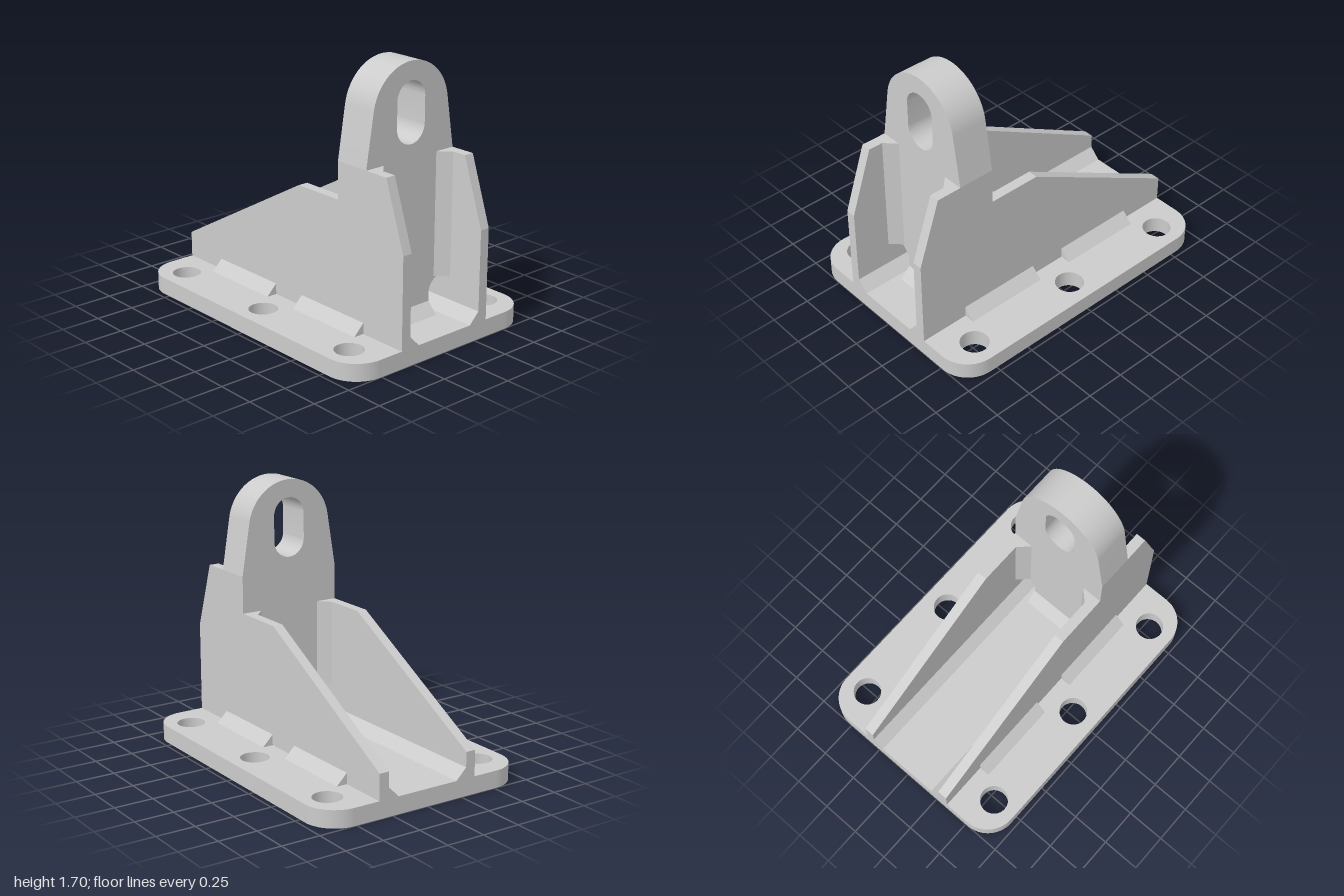
import * as THREE from 'three';
import { toCreasedNormals } from 'three/addons/utils/BufferGeometryUtils.js';

const material = new THREE.MeshStandardMaterial({ color: 0xcccccc });
const BASE_TOP = 0.11, WALL_IN = 0.28, WALL_OUT = 0.345, WELD = 0.07;
const LUG_BACK = 0.45, LUG_FRONT = 0.69, WALL_TOP = 1.115;

const polygon = (pts) => new THREE.Shape(pts.map(([x, y]) => new THREE.Vector2(x, y)));

// Extrudes a shape from `start` to `end` along an axis.
// Shape coordinates: axis z -> (x, y), axis y -> (x, -z), axis x -> (z, y).
function extrude(name, shape, axis, start, end) {
  const geo = new THREE.ExtrudeGeometry(shape, { depth: end - start, bevelEnabled: false, curveSegments: 24 });
  if (axis === 'z') geo.translate(0, 0, start);
  if (axis === 'y') geo.rotateX(-Math.PI / 2).translate(0, start, 0);
  if (axis === 'x') geo.rotateY(-Math.PI / 2).translate(end, 0, 0);
  const mesh = new THREE.Mesh(toCreasedNormals(geo, 0.15), material);
  mesh.name = name;
  return mesh;
}

// Right-triangle weld section with its square corner at (x, y)
const weldSection = (x, y, dx, dy) => polygon([[x, y], [x + dx, y], [x, y + dy]]);

function basePlate() {
  const w = 0.715, d = 1, r = 0.2, s = new THREE.Shape();
  s.absarc(w - r, d - r, r, 0, Math.PI / 2);
  s.absarc(-w + r, d - r, r, Math.PI / 2, Math.PI);
  s.absarc(-w + r, -d + r, r, Math.PI, Math.PI * 1.5);
  s.absarc(w - r, -d + r, r, Math.PI * 1.5, Math.PI * 2);
  s.closePath();
  for (const x of [-0.55, 0.55]) for (const z of [-0.78, 0, 0.78])
    s.holes.push(new THREE.Path().absarc(x, z, 0.09, 0, Math.PI * 2, true));
  return extrude('basePlate', s, 'y', 0, BASE_TOP);
}

function lug() {
  const s = new THREE.Shape();
  // foot with rounded clearance notches, then the shoulders and round head
  s.moveTo(-0.17, BASE_TOP);
  s.lineTo(0.17, BASE_TOP);
  s.absarc(0.27, 0.23, 0.1, Math.PI, Math.PI / 2, true);
  s.lineTo(WALL_IN, 0.33);
  s.lineTo(WALL_IN, WALL_TOP);
  s.lineTo(WALL_OUT, WALL_TOP);
  s.absarc(0, 1.4, 0.295, 0.16, Math.PI - 0.16);
  s.lineTo(-WALL_OUT, WALL_TOP);
  s.lineTo(-WALL_IN, WALL_TOP);
  s.lineTo(-WALL_IN, 0.33);
  s.absarc(-0.27, 0.23, 0.1, Math.PI / 2, 0, true);
  s.closePath();
  // vertical slot
  const slot = new THREE.Path();
  slot.absarc(0, 1.47, 0.11, 0, Math.PI);
  slot.absarc(0, 1.31, 0.11, Math.PI, Math.PI * 2);
  slot.closePath();
  s.holes.push(slot);
  return extrude('lug', s, 'z', LUG_BACK, LUG_FRONT);
}

export function createModel() {
  const model = new THREE.Group();
  model.name = 'mountingBracket';
  model.add(basePlate(), lug());

  const wall = polygon([
    [1, BASE_TOP], [1, 0.69], [0.855, WALL_TOP], [LUG_BACK, WALL_TOP],
    [LUG_BACK, 0.88], [0.1, 0.88], [-1, 0.275], [-1, BASE_TOP],
  ]);

  for (const side of [1, -1]) {
    const group = new THREE.Group();
    group.name = side > 0 ? 'leftSide' : 'rightSide';
    const x = side * WALL_IN, out = side * WALL_OUT, w = side * WELD;
    group.add(extrude('sideWall', wall, 'x', Math.min(x, out), Math.max(x, out)));
    // long inner weld and two short outer welds along the base
    group.add(extrude('innerWeld', weldSection(x, BASE_TOP, -w, WELD), 'z', -1, 1));
    for (const [a, b] of [[0.12, 0.675], [-0.68, -0.125]])
      group.add(extrude('outerWeld', weldSection(out, BASE_TOP, w, WELD), 'z', a, b));
    // upright welds joining the lug to the wall
    group.add(extrude('uprightWeldFront', weldSection(x, -LUG_FRONT, -w, -WELD), 'y', 0.33, WALL_TOP));
    group.add(extrude('uprightWeldBack', weldSection(x, -LUG_BACK, -w, WELD), 'y', 0.33, 0.88));
    model.add(group);
  }

  // welds at the foot of the lug
  model.add(extrude('lugWeldFront', weldSection(LUG_FRONT, BASE_TOP, WELD, WELD), 'x', -0.17, 0.17));
  model.add(extrude('lugWeldBack', weldSection(LUG_BACK, BASE_TOP, -WELD, WELD), 'x', -0.17, 0.17));
  return model;
}
